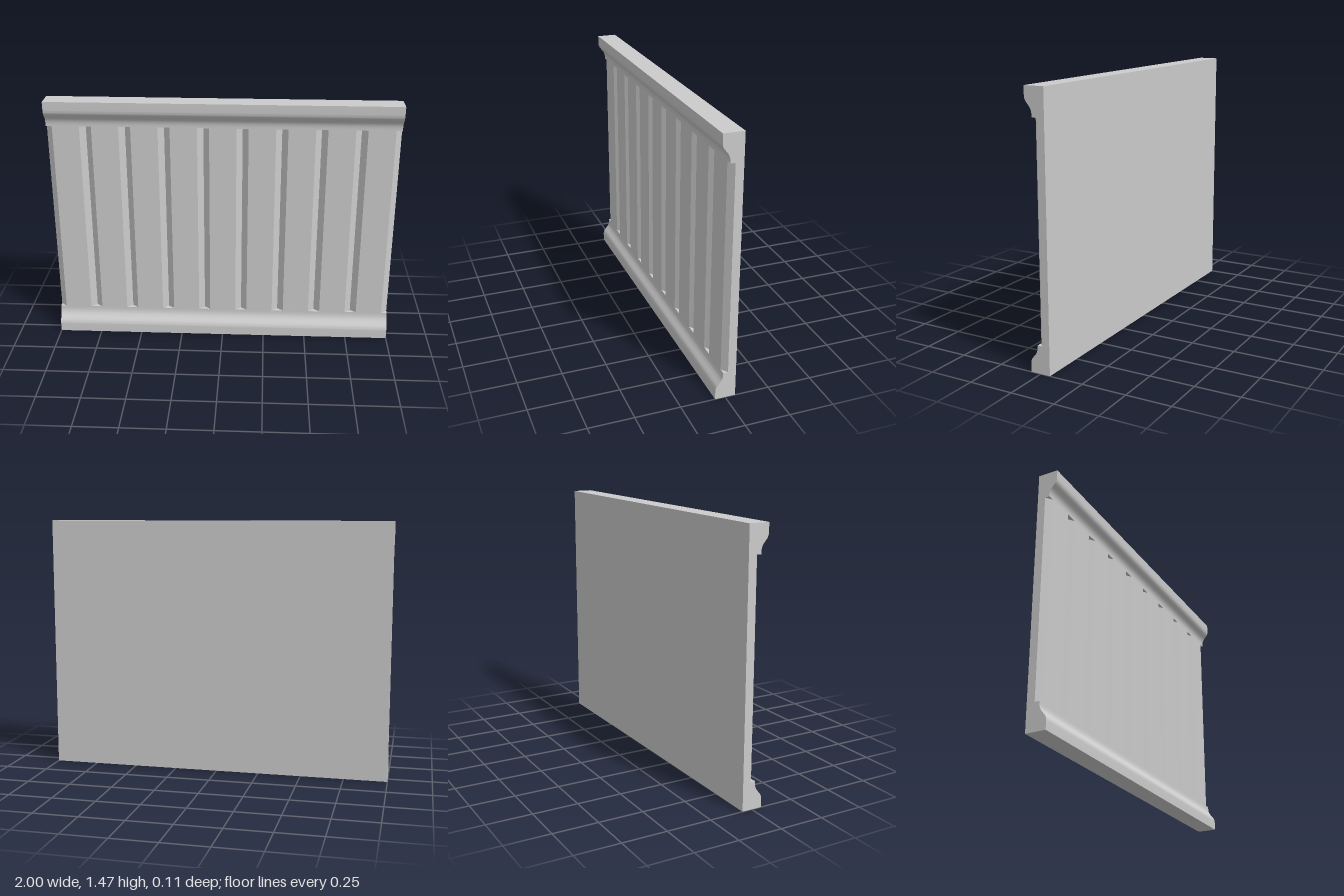
import * as THREE from 'three';
import { toCreasedNormals } from 'three/addons/utils/BufferGeometryUtils.js';

const HEIGHT = 1.472, RAIL = 0.153;         // overall height, height of each moulding
const BACK = -0.057, FRONT = 0.057;         // moulding depth
const FACE = 0.015, GROOVE = -0.012;        // board face and groove bottom
const BOARDS = 9, GROOVE_HALF = 0.034;

export function createModel() {
  const group = new THREE.Group();
  const material = new THREE.MeshStandardMaterial({ color: 0xcccccc });
  const add = (name, geometry) => {
    const mesh = new THREE.Mesh(toCreasedNormals(geometry, 0.5), material);
    mesh.name = name;
    group.add(mesh);
  };

  // Ogee moulding: profile drawn in (-z, y), swept along x
  const moulding = (name, yAt) => {
    const s = new THREE.Shape();
    s.moveTo(-BACK, yAt(0));
    s.lineTo(-FRONT, yAt(0));
    s.lineTo(-FRONT, yAt(0.048));
    s.bezierCurveTo(-FRONT, yAt(0.09), -FACE, yAt(0.09), -FACE, yAt(0.145));
    s.lineTo(-FACE, yAt(RAIL));
    s.lineTo(-BACK, yAt(RAIL));
    s.closePath();
    const g = new THREE.ExtrudeGeometry(s, { depth: 2, bevelEnabled: false, curveSegments: 16 });
    add(name, g.rotateY(Math.PI / 2).translate(-1, 0, 0));
  };
  moulding('baseMoulding', y => y);
  moulding('topMoulding', y => HEIGHT - y);

  // Boarded panel: plan drawn in (x, -z) with V-grooves between boards, raised along y
  const plan = new THREE.Shape();
  plan.moveTo(1, -BACK);
  plan.lineTo(-1, -BACK);
  const width = 2 / BOARDS;
  for (let i = 0; i < BOARDS; i++) {
    const x = -1 + i * width;
    plan.lineTo(x, -GROOVE);
    plan.lineTo(x + GROOVE_HALF, -FACE);
    plan.lineTo(x + width - GROOVE_HALF, -FACE);
  }
  plan.lineTo(1, -GROOVE);
  plan.closePath();
  const panel = new THREE.ExtrudeGeometry(plan, { depth: HEIGHT - 2 * RAIL, bevelEnabled: false });
  add('groovedPanel', panel.rotateX(-Math.PI / 2).translate(0, RAIL, 0));

  return group;
}
